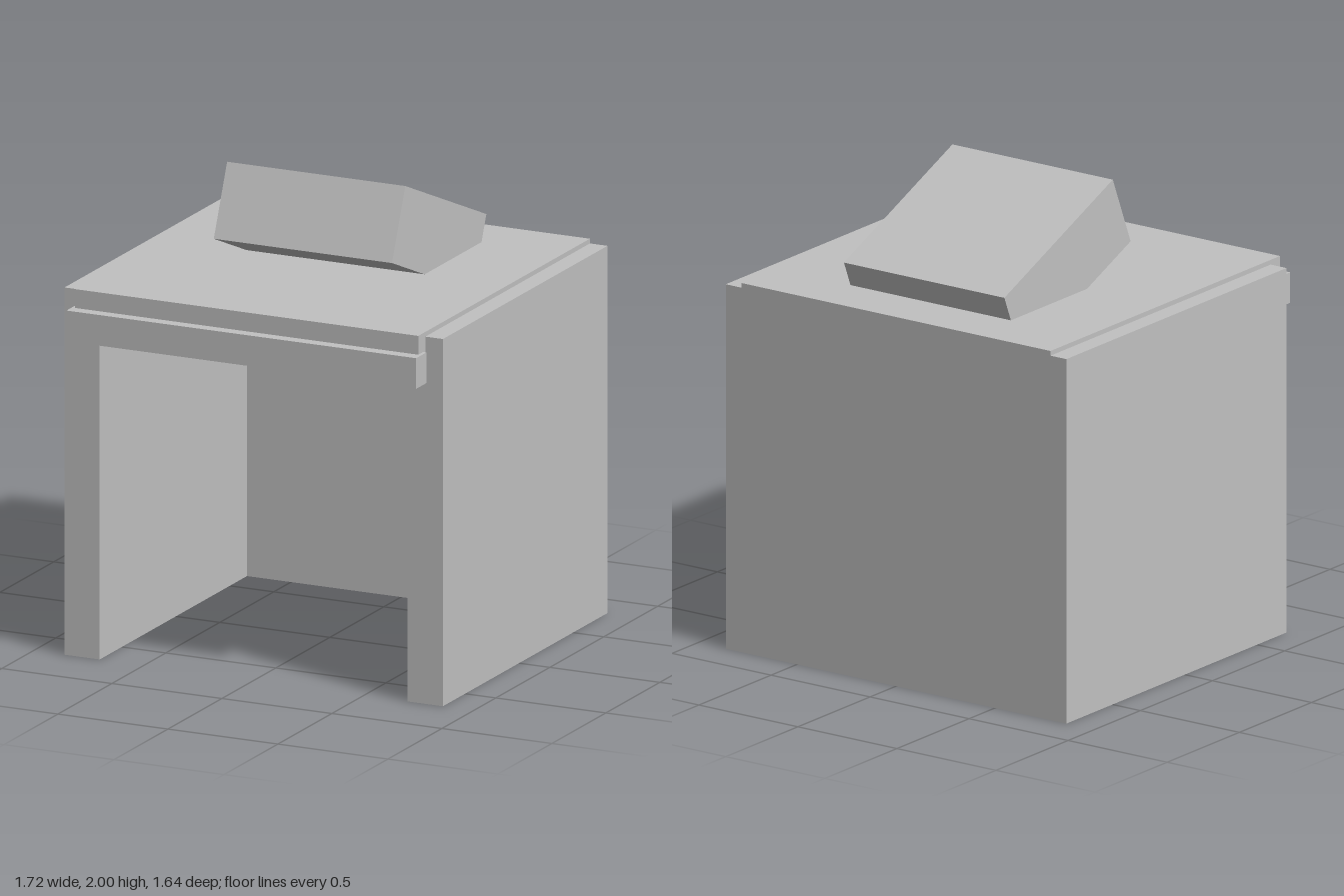
import * as THREE from 'three';

export function createModel() {
  const model = new THREE.Group();
  model.name = 'deskWithTerminal';

  const grey = new THREE.MeshStandardMaterial({ color: 0xc0c0c0 });
  grey.name = 'plain grey';

  // Box given by its minimum and maximum corners
  function block(name, [x0, y0, z0], [x1, y1, z1]) {
    const mesh = new THREE.Mesh(new THREE.BoxGeometry(x1 - x0, y1 - y0, z1 - z0), grey);
    mesh.position.set((x0 + x1) / 2, (y0 + y1) / 2, (z0 + z1) / 2);
    mesh.name = name;
    model.add(mesh);
    return mesh;
  }

  // Side panels and back panel form a U-shaped base
  block('leftSidePanel', [0.7, 0, -0.82], [0.86, 1.56, 0.705]);
  block('rightSidePanel', [-0.86, 0, -0.82], [-0.7, 1.56, 0.705]);
  block('backPanel', [-0.7, 0, -0.82], [0.7, 1.56, -0.66]);

  // Worktop, slightly proud of the side panels, with a rail along its front
  block('worktop', [-0.78, 1.42, -0.82], [0.78, 1.58, 0.77]);
  block('frontRail', [-0.795, 1.37, 0.725], [0.795, 1.5, 0.82]);

  // Tilted terminal box, partly sunk into the worktop
  const terminal = block('terminal', [-0.405, 1.537, -0.595], [0.405, 1.857, 0.219]);
  terminal.rotation.x = -0.396;

  return model;
}
